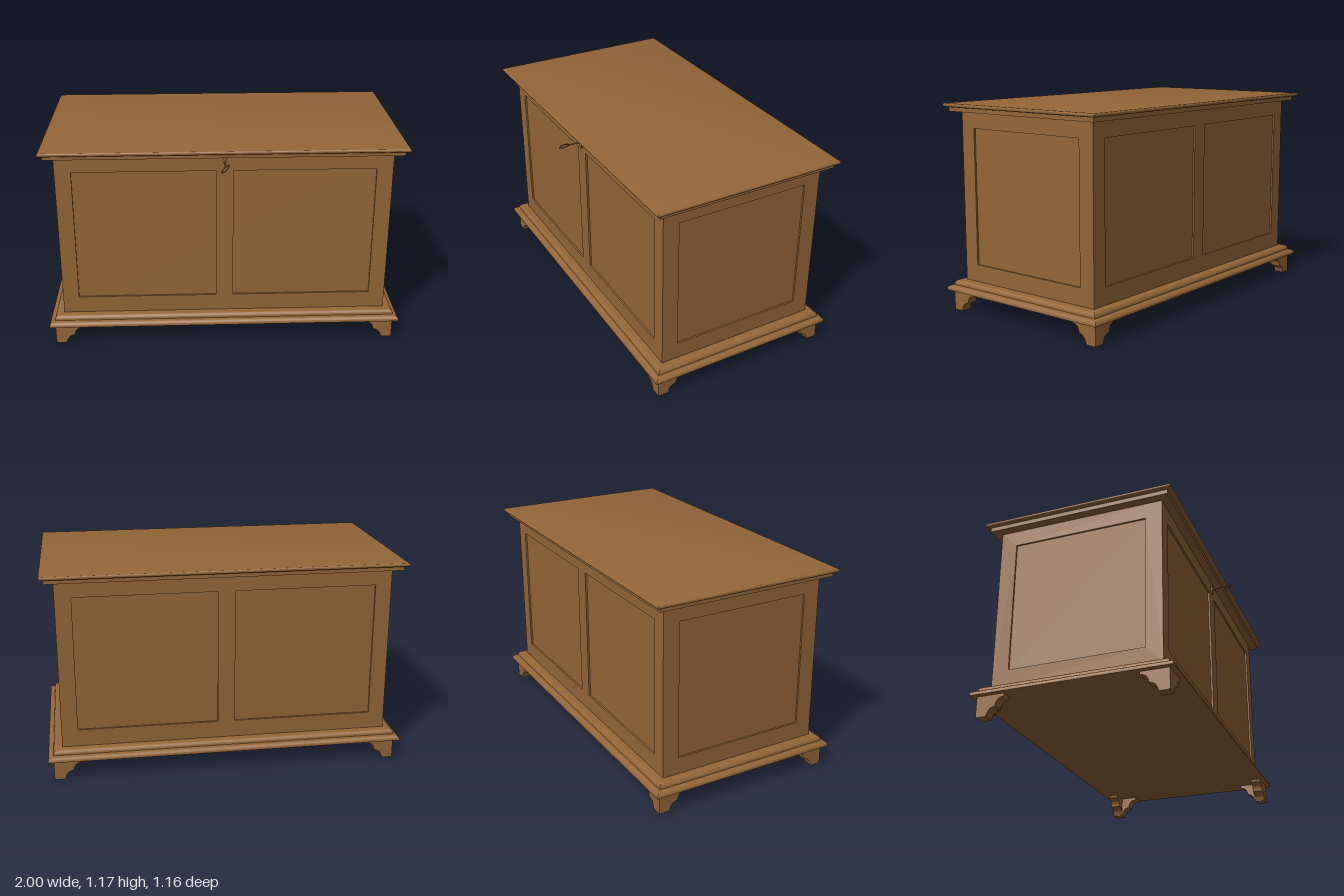
import * as THREE from 'three';
import { toCreasedNormals } from 'three/addons/utils/BufferGeometryUtils.js';

const wood = new THREE.MeshStandardMaterial({ color: 0x946638 });
wood.name = 'brown wood';

const CENTRE_Z = -0.0275; // the case sits slightly back because the key sticks out
const DEPTH_OFFSET = 0.45; // half width minus half depth, the same at every level
const RECESS = 0.01;

function add(parent, name, geometry, x = 0, y = 0, z = 0) {
  const mesh = new THREE.Mesh(geometry, wood);
  mesh.name = name;
  mesh.position.set(x, y, z);
  parent.add(mesh);
  return mesh;
}

// Mitred rectangular moulding: profile of [half width, y] from bottom to top, capped
function moulding(profile) {
  const pos = [];
  const ring = ([w, y]) => {
    const d = w - DEPTH_OFFSET;
    return [[-w, y, d], [w, y, d], [w, y, -d], [-w, y, -d]];
  };
  const quad = (a, b, c, d) => pos.push(...a, ...b, ...c, ...a, ...c, ...d);
  const rings = profile.map(ring);
  for (let i = 0; i < rings.length - 1; i++) {
    for (let k = 0; k < 4; k++) {
      const n = (k + 1) % 4;
      quad(rings[i][k], rings[i][n], rings[i + 1][n], rings[i + 1][k]);
    }
  }
  const [a, b, c, d] = rings[0];
  quad(d, c, b, a);
  quad(...rings[rings.length - 1]);
  const g = new THREE.BufferGeometry();
  g.setAttribute('position', new THREE.Float32BufferAttribute(pos, 3));
  g.computeVertexNormals();
  return toCreasedNormals(g, 0.6);
}

// Quarter round from (w, y) inward by r and up by h
function quarterRound(w, y, r, h, steps = 6) {
  return Array.from({ length: steps + 1 }, (_, i) => {
    const t = (i / steps) * Math.PI / 2;
    return [w - r * (1 - Math.cos(t)), y + h * Math.sin(t)];
  });
}

// Board with rectangular panel openings, extruded outward along +z
function panelFrame(halfW, y0, y1, openings) {
  const s = new THREE.Shape();
  s.moveTo(-halfW, y0).lineTo(halfW, y0).lineTo(halfW, y1).lineTo(-halfW, y1).closePath();
  for (const [x0, x1] of openings) {
    const h = new THREE.Path();
    h.moveTo(x0, 0.27).lineTo(x0, 1.03).lineTo(x1, 1.03).lineTo(x1, 0.27).closePath();
    s.holes.push(h);
  }
  return new THREE.ExtrudeGeometry(s, { depth: RECESS, bevelEnabled: false });
}

// Bracket outline with two coves; x runs inward from the outer corner
function bracketGeometry() {
  const s = new THREE.Shape();
  s.moveTo(0, 0.004).lineTo(0.004, 0).lineTo(0.057, 0).lineTo(0.061, 0.006);
  s.quadraticCurveTo(0.071, 0.049, 0.108, 0.051);
  s.lineTo(0.109, 0.06);
  s.quadraticCurveTo(0.117, 0.096, 0.147, 0.097);
  s.quadraticCurveTo(0.155, 0.099, 0.155, 0.106);
  s.lineTo(0.155, 0.117).lineTo(0, 0.117).closePath();
  const g = new THREE.ExtrudeGeometry(s, { depth: 0.06, bevelEnabled: false, curveSegments: 8 });
  return toCreasedNormals(g, 0.6);
}

export function createModel() {
  const model = new THREE.Group();
  model.name = 'blanketChest';
  const chest = new THREE.Group();
  chest.name = 'chest';
  chest.position.z = CENTRE_Z;
  model.add(chest);

  // Case: core box with recessed-panel frames on all four sides
  const W = 0.92, D = 0.4725, y0 = 0.17, y1 = 1.125;
  add(chest, 'caseCore',
    new THREE.BoxGeometry(2 * (W - RECESS), y1 - y0, 2 * (D - RECESS)), 0, (y0 + y1) / 2, 0);
  const longFrame = panelFrame(W, y0, y1, [[-0.83, -0.048], [0.048, 0.83]]);
  const shortFrame = panelFrame(D, y0, y1, [[-0.38, 0.38]]);
  add(chest, 'frontFrame', longFrame, 0, 0, D - RECESS);
  add(chest, 'backFrame', longFrame, 0, 0, -D + RECESS).rotation.y = Math.PI;
  add(chest, 'leftFrame', shortFrame, W - RECESS, 0, 0).rotation.y = Math.PI / 2;
  add(chest, 'rightFrame', shortFrame, -W + RECESS, 0, 0).rotation.y = -Math.PI / 2;

  // Stepped base moulding
  add(chest, 'baseMoulding', moulding([
    [1.0, 0.115], ...quarterRound(1.0, 0.122, 0.028, 0.022),
    [0.97, 0.145], ...quarterRound(0.97, 0.149, 0.026, 0.025),
  ]));

  // Lid with bullnose edge and the rim beneath it
  add(chest, 'lidRim', moulding([[0.97, 1.12], [0.97, 1.146]]));
  const nose = Array.from({ length: 11 }, (_, i) => {
    const t = (i / 10 - 0.5) * Math.PI;
    return [0.984 + 0.0105 * Math.cos(t), 1.155 + 0.0105 * Math.sin(t)];
  });
  add(chest, 'lid', moulding(nose));

  // Bracket feet: two boards meeting at each corner
  const bracket = bracketGeometry();
  for (const sx of [-1, 1]) {
    for (const sz of [-1, 1]) {
      const foot = new THREE.Group();
      foot.name = (sz > 0 ? 'front' : 'back') + (sx > 0 ? 'Left' : 'Right') + 'Foot';
      foot.position.set(sx * 0.97, 0, sz * 0.5225);
      foot.scale.set(-sx, 1, -sz);
      add(foot, 'longBracket', bracket);
      const side = add(foot, 'sideBracket', bracket);
      side.rotation.y = -Math.PI / 2;
      side.scale.z = -1;
      chest.add(foot);
    }
  }

  // Lock plate and key, with the key's bow turned 45 degrees
  const lock = new THREE.Group();
  lock.name = 'lock';
  lock.position.set(0, 1.08, 0.445);
  model.add(lock);
  const plate = add(lock, 'lockPlate', new THREE.CylinderGeometry(1, 1, 0.006, 24), 0, -0.007, 0.003);
  plate.rotation.x = Math.PI / 2;
  plate.scale.set(0.016, 1, 0.032);
  const collar = add(lock, 'keyCollar', new THREE.CylinderGeometry(0.009, 0.009, 0.008, 16), 0, 0, 0.007);
  collar.rotation.x = Math.PI / 2;

  const key = new THREE.Group();
  key.name = 'key';
  key.rotation.z = Math.PI / 4;
  lock.add(key);
  add(key, 'keyShaft', new THREE.CylinderGeometry(0.0045, 0.0045, 0.085, 12), 0, 0, 0.0375)
    .rotation.x = Math.PI / 2;
  add(key, 'keyBow', new THREE.TorusGeometry(0.0265, 0.0035, 10, 32), 0, 0, 0.105)
    .rotation.x = Math.PI / 2;

  return model;
}
